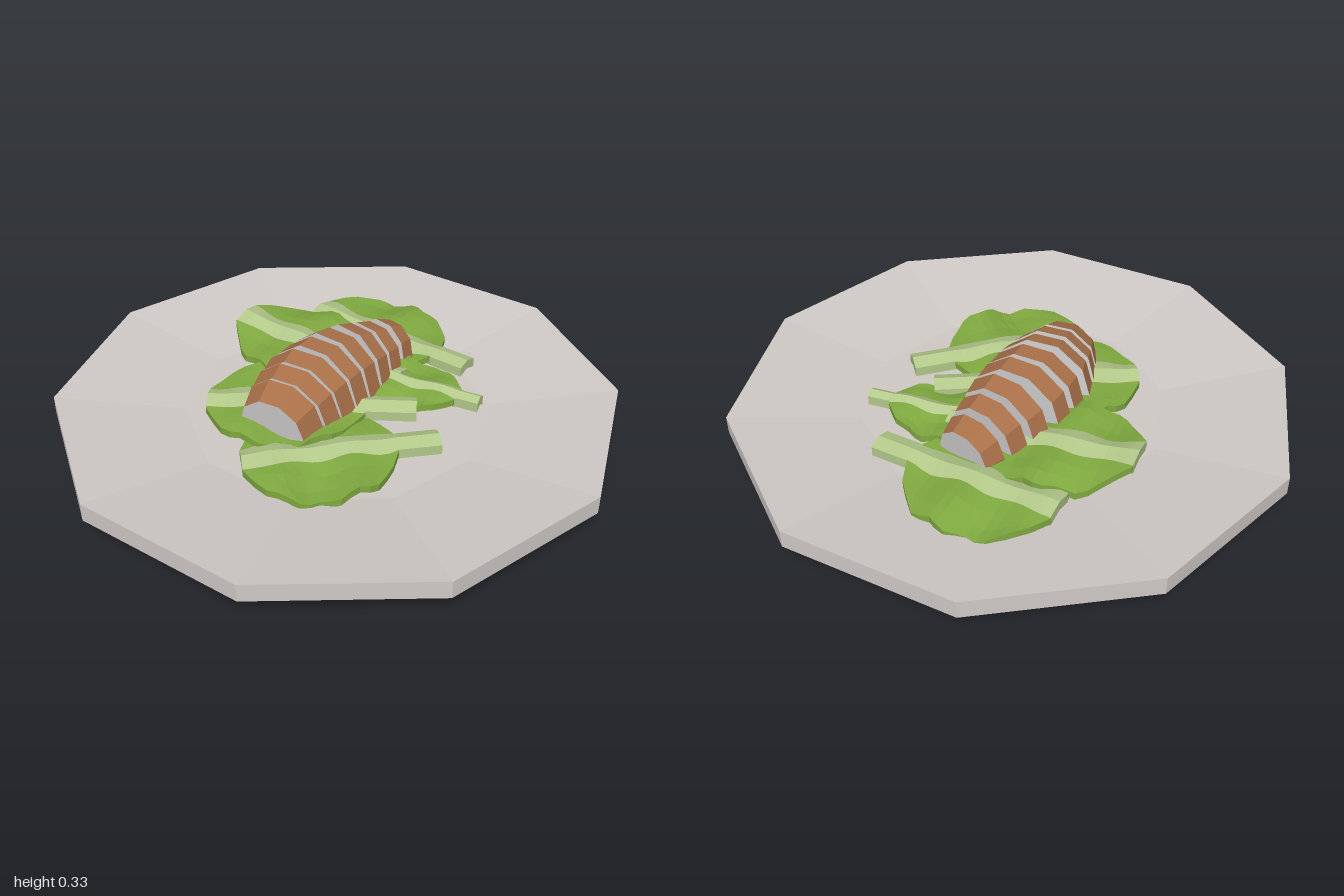
import * as THREE from 'three';

const mat = (name, color) => {
  const m = new THREE.MeshStandardMaterial({ color });
  m.name = name;
  return m;
};

// Faceted normals
const facet = (g) => {
  const f = g.index ? g.toNonIndexed() : g;
  f.computeVertexNormals();
  return f;
};

// Closed slab: a grid of top points over us (along x) and vs (along +z), with a thickness
function slab(us, vs, point, thick) {
  const pos = [], idx = [], n = vs.length, count = us.length * n;
  for (const drop of [0, thick])
    for (const u of us) for (const v of vs) {
      const [x, y, z] = point(u, v);
      pos.push(x, y - drop, z);
    }
  const quad = (a, b, c, d) => idx.push(a, b, c, a, c, d);
  const rows = us.length - 1, cols = n - 1;
  for (let i = 0; i < rows; i++)
    for (let j = 0; j < cols; j++) {
      const a = i * n + j, b = a + 1, c = a + n + 1, d = a + n;
      quad(a, b, c, d);
      quad(a + count, d + count, c + count, b + count);
    }
  const wall = (a, b) => quad(a, a + count, b + count, b);
  for (let i = 0; i < rows; i++) {
    wall((i + 1) * n, i * n);
    wall(i * n + cols, (i + 1) * n + cols);
  }
  for (let j = 0; j < cols; j++) {
    wall(j, j + 1);
    wall(rows * n + j + 1, rows * n + j);
  }
  const g = new THREE.BufferGeometry();
  g.setAttribute('position', new THREE.Float32BufferAttribute(pos, 3));
  g.setIndex(idx);
  return facet(g);
}

// Lettuce leaf running from its tip (origin) along +x to its stalk
function makeLeaf({ length, width, stalk, rib, tipY, baseY, phase }, green, pale) {
  const leaf = new THREE.Group();
  const body = Array.from({ length: 17 }, (_, i) => i / 16);
  const height = (u, s) => tipY + (baseY - tipY) * Math.min(u, 1)
    + 0.011 * Math.sin(u * 13 + phase) * (0.4 + Math.abs(s))
    - 0.015 * Math.abs(s) + 0.008 * Math.sin(s * 5 + u * 6 + phase) * Math.abs(s);
  const ribWidth = (u) => u > 1 ? rib * 0.8 : rib * (1 + 0.12 * Math.sin(u * 17 + phase) - 0.15 * u);
  const edge = (u) => {
    const round = Math.pow(Math.max(0, 1 - Math.pow(Math.abs(2 * u - 1), 2.4)), 0.55);
    return Math.max(ribWidth(u) + 0.004, width * round * (1 + 0.045 * Math.sin(u * 27 + phase)));
  };

  // Two green halves
  for (const side of [-1, 1]) {
    const vs = [0, 0.35, 0.7, 1].map((v) => side * v).sort((a, b) => a - b);
    const blade = new THREE.Mesh(slab(body, vs, (u, v) => {
      const inner = ribWidth(u), z = inner + (edge(u) - inner) * Math.abs(v);
      return [u * length, height(u, side * z / width), side * z];
    }, 0.025), green);
    blade.name = side < 0 ? 'leafBladeBack' : 'leafBladeFront';
    leaf.add(blade);
  }

  // Ridged pale rib that continues into the stalk
  const ribMesh = new THREE.Mesh(slab([...body, 1.01, 1 + stalk / length], [-1, 0, 1], (u, v) => {
    const z = v * ribWidth(u);
    return [u * length, height(Math.min(u, 1), z / width) + (v ? 0.001 : 0.014), z];
  }, 0.036), pale);
  ribMesh.name = 'leafRibAndStalk';
  leaf.add(ribMesh);
  return leaf;
}

export function createModel() {
  const model = new THREE.Group();
  model.name = 'slicedRoastOnPlate';
  const china = mat('plate white', 0xd0cac7);
  const crust = mat('roast brown', 0xaa7149);
  const flesh = mat('meat white', 0xd2d0d0);
  const green = mat('leaf green', 0x80aa40);
  const pale = mat('rib pale green', 0xb3c88a);

  // Ten-sided plate with foot and shallow dish
  const profile = [[0, 0], [0.675, 0], [0.675, 0.045], [0.69, 0.045], [1, 0.085],
    [1, 0.15], [0.54, 0.095], [0, 0.095]].map(([r, y]) => new THREE.Vector2(r, y));
  const plate = new THREE.Mesh(facet(new THREE.LatheGeometry(profile, 10, Math.PI / 2)), china);
  plate.name = 'plate';
  model.add(plate);

  // Lettuce bed: x and z are the tip, turn is the heading of the stalk
  const leaves = [
    { name: 'backLeaf', x: -0.40, z: -0.46, turn: -0.03, length: 0.54, width: 0.245, stalk: 0.14, rib: 0.058, tipY: 0.155, baseY: 0.145, phase: 0.4 },
    { name: 'rightLeaf', x: -0.55, z: -0.18, turn: 0.06, length: 0.56, width: 0.225, stalk: 0.12, rib: 0.058, tipY: 0.21, baseY: 0.155, phase: 1.7 },
    { name: 'leftSmallLeaf', x: -0.09, z: -0.17, turn: 0.14, length: 0.45, width: 0.145, stalk: 0.085, rib: 0.033, tipY: 0.165, baseY: 0.16, phase: 2.9 },
    { name: 'frontRightLeaf', x: -0.35, z: 0.29, turn: 0.55, length: 0.55, width: 0.24, stalk: 0.18, rib: 0.058, tipY: 0.17, baseY: 0.165, phase: 4.1 },
    { name: 'frontLeftLeaf', x: -0.06, z: 0.47, turn: 0.77, length: 0.52, width: 0.25, stalk: 0.15, rib: 0.058, tipY: 0.135, baseY: 0.145, phase: 5.3 },
  ];
  for (const spec of leaves) {
    const leaf = makeLeaf(spec, green, pale);
    leaf.name = spec.name;
    leaf.position.set(spec.x, 0, spec.z);
    leaf.rotation.y = spec.turn;
    model.add(leaf);
  }

  // Roast slices, front to back: x, z, turn, front radius, back radius, thickness
  const slices = [
    [-0.06, 0.265, 0.11, 0.125, 0.152, 0.088],
    [-0.065, 0.18, 0.1, 0.158, 0.174, 0.068],
    [-0.07, 0.1, 0.08, 0.175, 0.188, 0.068],
    [-0.07, 0.008, 0, 0.187, 0.187, 0.07],
    [-0.065, -0.08, -0.06, 0.188, 0.18, 0.07],
    [-0.05, -0.175, -0.16, 0.175, 0.158, 0.066],
    [-0.035, -0.26, -0.18, 0.147, 0.132, 0.066],
    [-0.02, -0.355, -0.2, 0.122, 0.1, 0.07],
  ];
  const roast = new THREE.Group();
  roast.name = 'roast';
  slices.forEach(([x, z, turn, front, back, thick], i) => {
    const g = new THREE.CylinderGeometry(front, back, thick, 10, 1, false, Math.PI / 10);
    g.rotateX(Math.PI / 2);
    // Flatten the underside
    const p = g.attributes.position;
    for (let k = 0; k < p.count; k++) p.setY(k, Math.max(p.getY(k), -0.05));
    const slice = new THREE.Mesh(facet(g), [crust, flesh, flesh]);
    slice.name = `roastSlice${i + 1}`;
    slice.position.set(x, 0.153, z);
    slice.rotation.set((z + 0.04) * 0.35, turn, 0, 'YXZ');
    roast.add(slice);
  });
  model.add(roast);
  return model;
}
